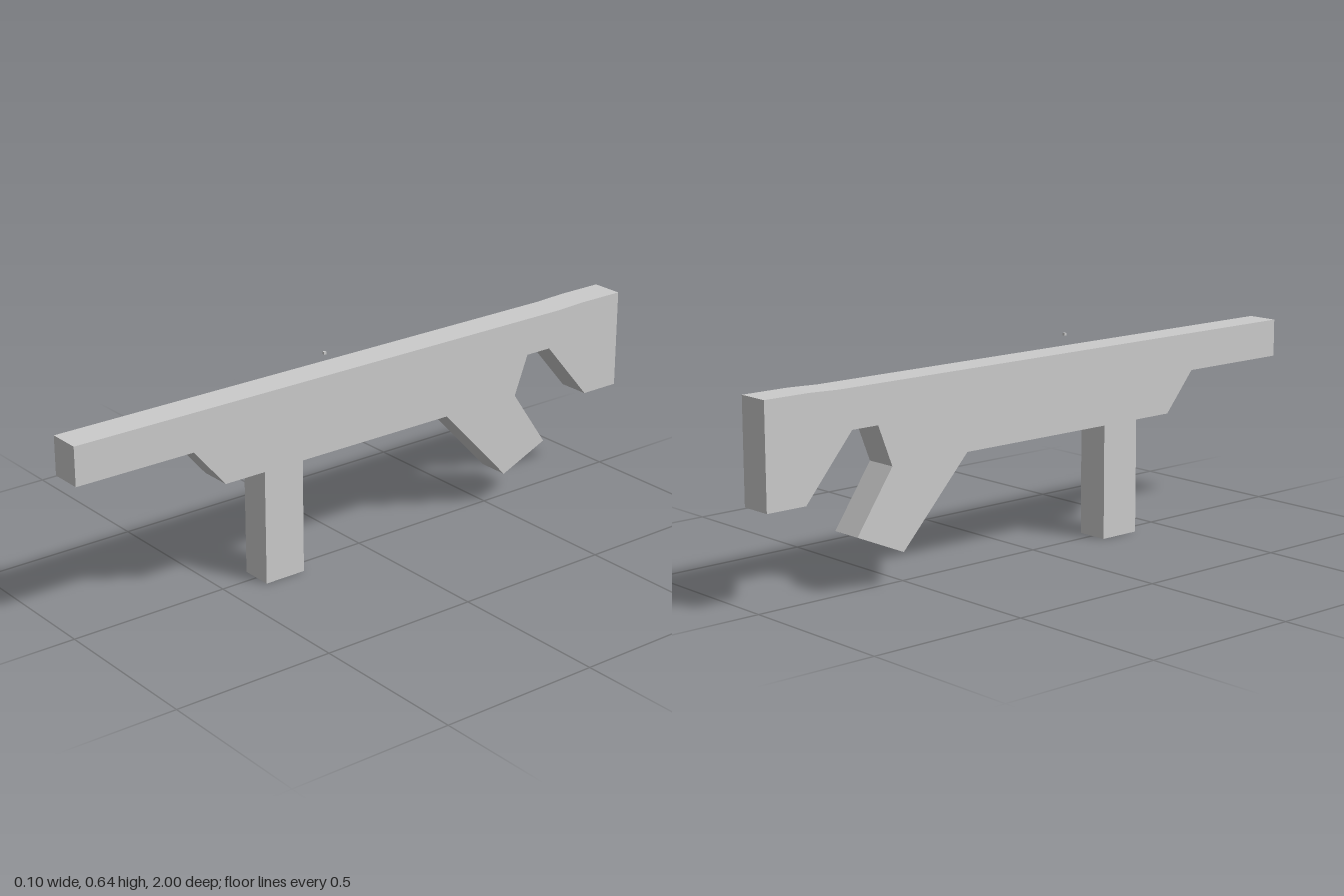
import * as THREE from 'three';

const WIDTH = 0.1;

export function createModel() {
  const model = new THREE.Group();
  const material = new THREE.MeshStandardMaterial({ color: 0xcccccc, flatShading: true });

  // Side outline as (z, y), extruded across the width
  const outline = [
    // top edge, rising slightly towards the rear
    [1, 0.592], [-0.75, 0.592], [-0.85, 0.596], [-1, 0.596],
    // rear stock
    [-1, 0.288], [-0.87, 0.288], [-0.71, 0.475], [-0.62, 0.475],
    // slanted rear grip
    [-0.572, 0.352], [-0.698, 0.17], [-0.535, 0.1], [-0.298, 0.352],
    // straight front leg
    [0.245, 0.352], [0.245, 0], [0.38, 0], [0.38, 0.352],
    // underside of the front end
    [0.515, 0.352], [0.62, 0.475], [1, 0.475],
  ];
  const shape = new THREE.Shape(outline.map(([z, y]) => new THREE.Vector2(z, y)));
  const bodyGeometry = new THREE.ExtrudeGeometry(shape, { depth: WIDTH, bevelEnabled: false });
  bodyGeometry.translate(0, 0, -WIDTH / 2).rotateY(-Math.PI / 2);
  const body = new THREE.Mesh(bodyGeometry, material);
  body.name = 'body';
  model.add(body);

  // Tiny block hovering above the top edge
  const sight = new THREE.Mesh(new THREE.BoxGeometry(0.008, 0.008, 0.008), material);
  sight.name = 'sightBlock';
  sight.position.set(-0.003, 0.638, 0.124);
  model.add(sight);

  return model;
}
